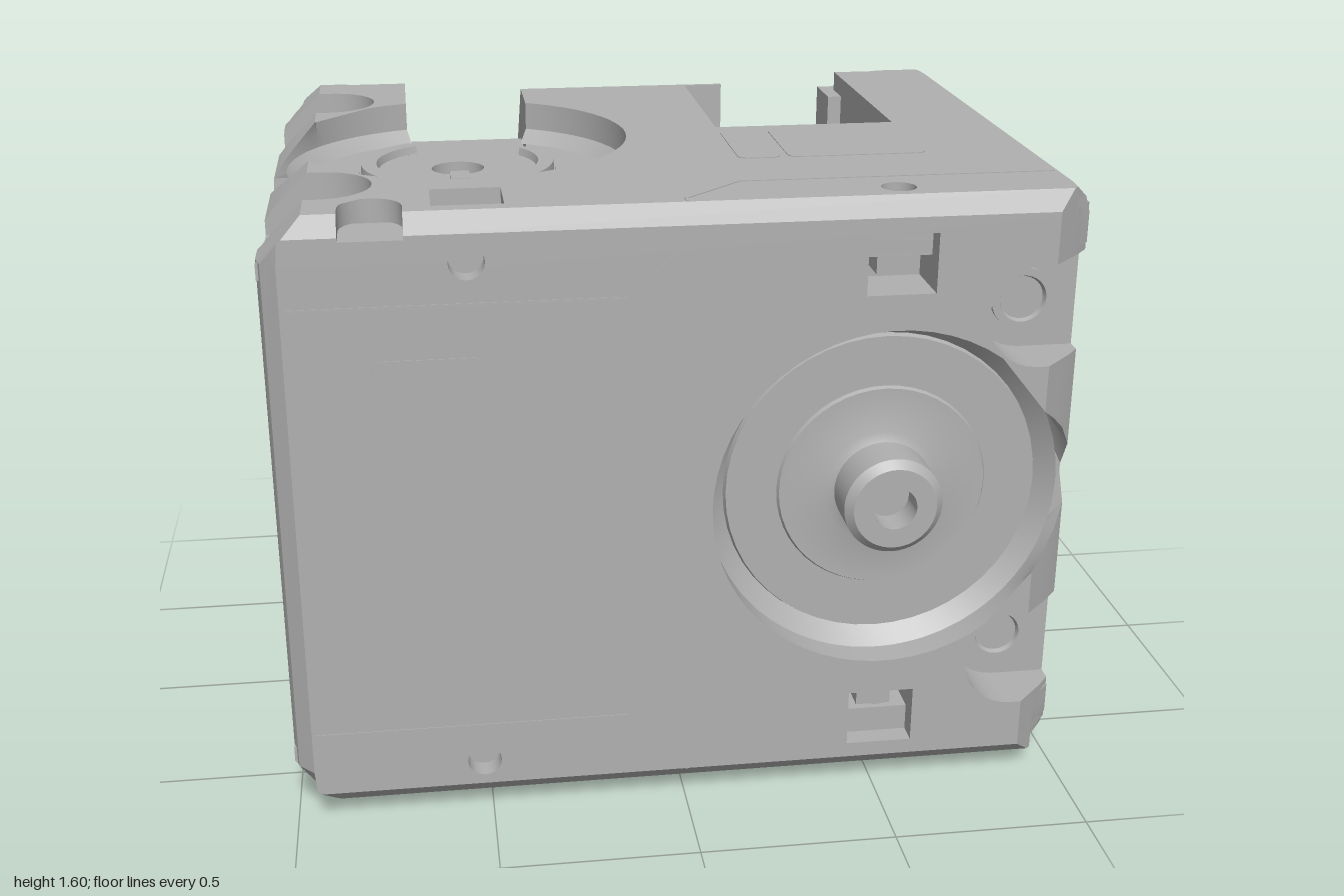
import * as THREE from 'three';
import { toCreasedNormals } from 'three/addons/utils/BufferGeometryUtils.js';

const grey = new THREE.MeshStandardMaterial({ color: 0xb0b0b0, side: THREE.DoubleSide });
grey.name = 'casingGrey';

const CORE = 0.62, FACE = 0.775, EDGE = 0.72; // half sizes: inner block, outer faces, plate width
const AXIS = 0.51, R = 0.45; // output axis position and recess radius
const TURN = Math.PI * 2;

function add(parent, name, geometry) {
  const mesh = new THREE.Mesh(toCreasedNormals(geometry, 0.5), grey);
  mesh.name = name;
  parent.add(mesh);
}

function box(parent, name, x0, x1, y0, y1, z0, z1) {
  const g = new THREE.BoxGeometry(x1 - x0, y1 - y0, z1 - z0);
  g.translate((x0 + x1) / 2, (y0 + y1) / 2, (z0 + z1) / 2);
  add(parent, name, g);
}

function arc(cx, cy, r, a0, a1, n = 16) {
  return Array.from({ length: n + 1 }, (_, i) => {
    const a = a0 + (a1 - a0) * i / n;
    return [cx + r * Math.cos(a), cy + r * Math.sin(a)];
  });
}

const toPoints = list => list.map(p => new THREE.Vector2(p[0], p[1]));

// Extrudes an outline with holes between two z values
function slab(outline, holes, z0, z1, steps = 1) {
  const shape = new THREE.Shape(toPoints(outline));
  for (const h of holes) shape.holes.push(new THREE.Path(toPoints(h)));
  const g = new THREE.ExtrudeGeometry(shape, { depth: z1 - z0, steps, bevelEnabled: false });
  return g.translate(0, 0, z0);
}

// Bevels the two ends of the casing and rounds the side opening of each recess
function bevelEnds(g) {
  const p = g.attributes.position;
  for (let i = 0; i < p.count; i++) {
    let x = p.getX(i), y = p.getY(i);
    const v = Math.abs(y), w = Math.abs(p.getZ(i));
    if (x > 0.99 && Math.abs(v - 0.22) < 1e-4) {
      y *= Math.max(0.05, Math.sqrt(Math.max(0, (w - 0.64) / (FACE - 0.64))));
    }
    x = Math.min(x, 1 - Math.max(0, w - 0.665, v - 0.725));
    x = Math.max(x, -1 + Math.max(0, v - 0.665, w - 0.725));
    p.setXY(i, x, y);
  }
  return g;
}

// Face plate lying on the inner block, front (side 1) or back (side -1)
function plate(parent, name, outline, holes, side) {
  const [z0, z1] = side > 0 ? [CORE, FACE] : [-FACE, -CORE];
  add(parent, name, bevelEnds(slab(outline, holes, z0, z1, 4)));
}

// Prism along x from a [y, z] section
function prism(parent, name, x0, x1, section) {
  const g = slab(section.map(([y, z]) => [-z, y]), [], x0, x1);
  add(parent, name, bevelEnds(g.rotateY(Math.PI / 2)));
}

// Bevelled long edge of the casing
function edgeBar(parent, x0, x1, sy, sz) {
  const s = [[EDGE, EDGE], [FACE, EDGE], [FACE, 0.73], [0.73, FACE], [EDGE, FACE]];
  prism(parent, 'edgeBar', x0, x1, s.map(([y, z]) => [y * sy, z * sz]));
}

function turned(parent, name, profile, x, y, side, start = 0, length = TURN) {
  const g = new THREE.LatheGeometry(toPoints(profile), 48, start, length);
  g.rotateX(side * Math.PI / 2);
  g.translate(x, y, 0);
  add(parent, name, g);
}

// Thin label with rounded corners
function label(parent, x0, x1, y0, y1, side) {
  const r = 0.025, q = Math.PI / 2;
  const pts = [
    ...arc(x1 - r, y1 - r, r, 0, q, 4), ...arc(x0 + r, y1 - r, r, q, 2 * q, 4),
    ...arc(x0 + r, y0 + r, r, 2 * q, 3 * q, 4), ...arc(x1 - r, y0 + r, r, 3 * q, 4 * q, 4)];
  add(parent, 'label', slab(pts, [], side * FACE - 0.002, side * FACE + 0.002));
}

// Narrow seam following the end cap
function seam(parent, sy, side) {
  const path = [[-0.94, 0.56], [-0.15, 0.56], [0, 0.7], [0, 0.73]];
  for (let i = 0; i < 3; i++) {
    const [x0, y0] = path[i], [x1, y1] = path[i + 1];
    const g = new THREE.BoxGeometry(Math.hypot(x1 - x0, y1 - y0), 0.008, 0.004);
    g.rotateZ(sy * Math.atan2(y1 - y0, x1 - x0));
    g.translate((x0 + x1) / 2, sy * (y0 + y1) / 2, side * FACE);
    add(parent, 'capSeam', g);
  }
}

const mount = sy => arc(0.86, sy * 0.47, 0.13, Math.PI / 2, Math.PI * 1.5);
const clipHole = sy => [[0.425, sy * 0.54], [0.595, sy * 0.54], [0.595, sy * 0.69], [0.425, sy * 0.69]];
const screwHole = sy => arc(-0.52, sy * 0.662, 0.043, 0, Math.PI * 1.9, 19);

// Round idler layer with the end of the cable channel cut out of it
function idlerLayer(parent, name, r, z0, z1) {
  const a0 = Math.acos(-0.21 / r), a1 = TURN + Math.acos(0.13 / r);
  const outline = [...arc(AXIS, 0, r, a0, a1, 48),
    [0.64, 0.14], [0.6, 0.1], [0.42, 0.1], [0.37, 0.13], [0.32, 0.14]];
  add(parent, name, slab(outline, [arc(AXIS, 0, 0.07, 0, Math.PI * 1.9, 19)], z0, z1));
}

// One actuator: horn in front, idler at the back, plus its half of the block
function buildHalf() {
  const half = new THREE.Group();
  const open = Math.asin(0.22 / R);
  const upper = [[1, EDGE], [1, 0.6], ...mount(1), [1, 0.34], [1, 0.22]];
  const lower = [[1, -0.22], [1, -0.34], ...mount(-1), [1, -0.6], [1, -EDGE]];
  const left = [[-1, -EDGE], [-1, -0.665], [-1, 0.665], [-1, EDGE]];

  // Inner block, with the connector bay cut from its top
  const c = CORE;
  const plain = [[-c, -c], [-c, c], [c, c], [c, -c]];
  const bay = [[-c, -c], [-c, c], [c, c], [c, -0.02], [0.5, -0.02], [0.5, -0.58], [c, -0.58], [c, -c]];
  prism(half, 'innerBlock', 0, 0.19, plain);
  prism(half, 'connectorBay', 0.19, 0.68, bay);
  prism(half, 'innerBlock', 0.68, 1, plain);
  box(half, 'connectorRib', 0.25, 0.27, 0.5, 0.63, -0.57, -0.06);
  box(half, 'connectorRib', 0.45, 0.51, 0.5, 0.6, -0.57, -0.06);

  // Horn face
  plate(half, 'hornPlate',
    [...upper, ...arc(AXIS, 0, R, open, TURN - open, 48), ...lower, ...left],
    [clipHole(1), clipHole(-1), screwHole(1), screwHole(-1)], 1);
  turned(half, 'horn', [[0.45, 0.62], [0.45, 0.7], [0.405, 0.655], [0.4, 0.67], [0.27, 0.67], [0.265, 0.68],
    [0.15, 0.68], [0.125, 0.69], [0.125, 0.8], [0.105, 0.82], [0.055, 0.82], [0.055, 0.74], [0, 0.74]], AXIS, 0, 1);

  // Idler face, divided by the cable channel
  plate(half, 'idlerPlateCorner',
    [...upper, ...arc(AXIS, 0, R, open, Math.acos(0.13 / R), 12), [0.64, EDGE]], [], -1);
  plate(half, 'idlerPlate', [
    ...arc(AXIS, 0, R, Math.acos(-0.21 / R), TURN - open, 40), ...lower,
    [0.81, -EDGE], ...arc(0.735, -0.68, 0.075, 0, Math.PI, 10), [0.66, -EDGE], ...left,
    [-0.68, EDGE], [-0.68, 0.02], [-0.19, 0.02], [-0.19, 0.58], [-0.3, 0.58], [-0.3, 0.595], [0.3, 0.595],
  ], [clipHole(-1), screwHole(-1)], -1);
  idlerLayer(half, 'idlerFloor', R, -0.665, -CORE);
  idlerLayer(half, 'idlerDisc', 0.26, -0.69, -CORE);
  turned(half, 'recessBevel', [[0.45, 0.7], [0.41, 0.665]], AXIS, 0, -1, 0.293, 5.505);
  turned(half, 'idlerRim', [[0.26, 0.66], [0.255, 0.71], [0.215, 0.71], [0.21, 0.69]], AXIS, 0, -1, 0.524, 4.82);
  box(half, 'idlerKey', 0.485, 0.535, -0.21, -0.13, -0.715, -0.68);

  // Mounting sockets and clip catches
  for (const side of [1, -1]) for (const sy of [1, -1]) {
    turned(half, 'mountSocket', [[0.08, 0.62], [0.08, 0.635], [0.06, 0.635], [0.055, 0.622], [0, 0.622]],
      0.86, sy * 0.47, side);
    if (side > 0 || sy < 0) {
      const y = sy * 0.6, z = side * 0.66;
      box(half, 'clipCatch', 0.465, 0.555, y - 0.03, y + 0.03, z - 0.04, z + 0.04);
      seam(half, sy, side);
    }
  }

  // Labels
  label(half, -0.75, -0.485, -0.43, 0.43, 1);
  label(half, -0.68, -0.32, -0.34, -0.03, -1);
  label(half, -0.3, -0.19, -0.34, -0.03, -1);

  // Long edges and the side panel
  edgeBar(half, -1, -0.81, 1, 1);
  edgeBar(half, -0.66, 1, 1, 1);
  edgeBar(half, 0.81, 1, 1, -1);
  box(half, 'sidePanel', 0.998, 1.001, -0.56, 0.56, -0.49, 0.32);
  return half;
}

export function createModel() {
  const model = new THREE.Group();
  model.name = 'twinActuator';
  const body = new THREE.Group();
  body.name = 'body';
  body.position.set(0, 0.82, -0.02);
  model.add(body);

  // The second actuator is the first one turned half round a diagonal axis
  const first = buildHalf();
  first.name = 'frontActuator';
  const second = first.clone();
  second.name = 'bottomActuator';
  second.setRotationFromAxisAngle(new THREE.Vector3(0, 1, -1).normalize(), Math.PI);
  body.add(first, second);

  // Shared edges: sloped ridge between the cable channels, and the lower front edge
  prism(body, 'slopedRidge', -0.3, 0.3, [[0.595, -FACE], [FACE, -0.595], [0.595, -0.595]]);
  edgeBar(body, -1, 1, -1, 1);
  return model;
}
